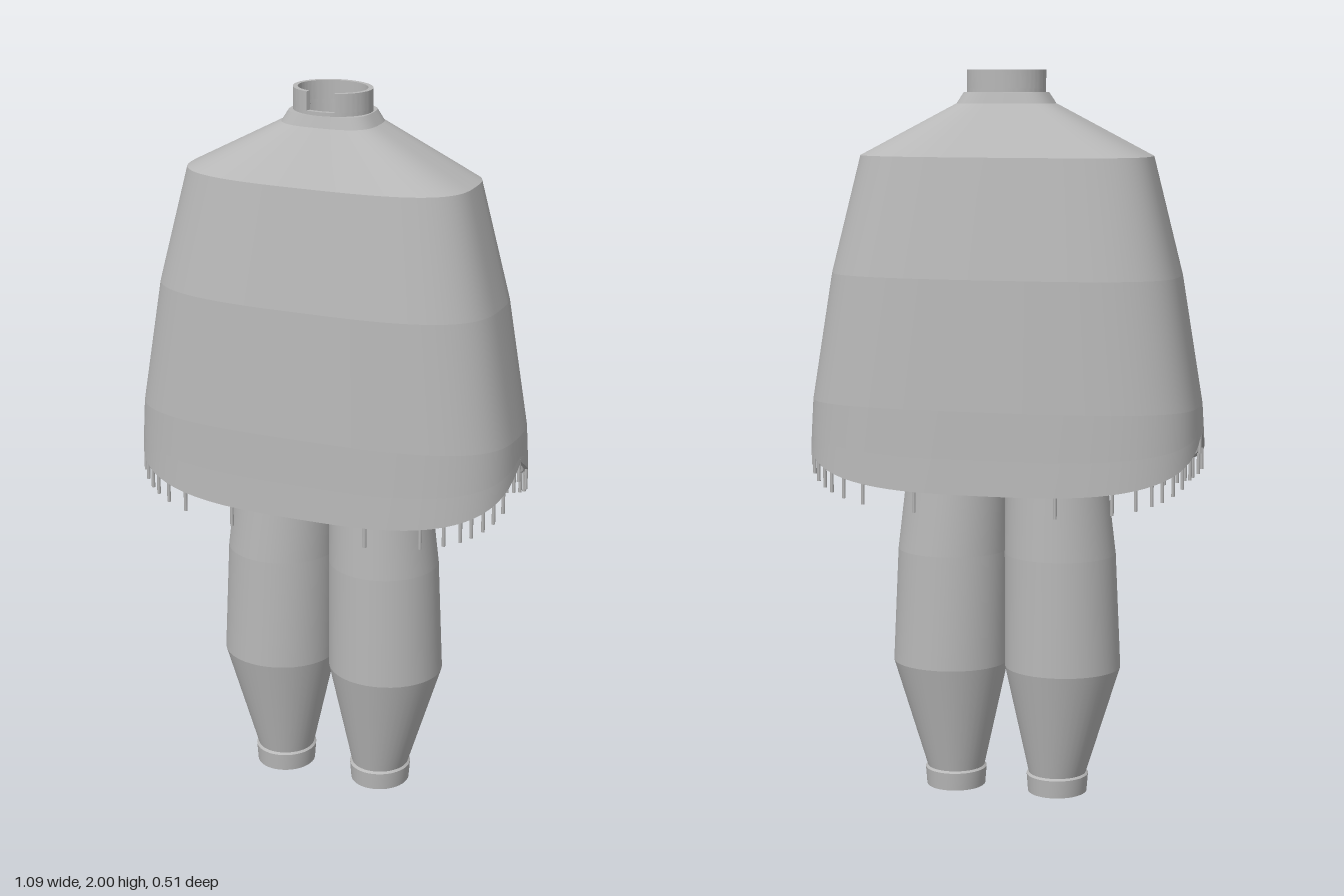
import * as THREE from 'three';
import { toCreasedNormals } from 'three/addons/utils/BufferGeometryUtils.js';

const cloth = new THREE.MeshStandardMaterial({ color: 0xb8b8b8 });
cloth.name = 'grey cloth';

function mesh(name, geometry, parent) {
  const m = new THREE.Mesh(geometry, cloth);
  m.name = name;
  parent.add(m);
  return m;
}

// Rings are [y, rx, rz, centreX]; y may be a function of |z| / rz.
// Each band keeps its own vertices, so it is smooth around and creased at rings.
function loft(rings, power, segments) {
  const pos = [], index = [];
  const addRing = ([y, rx, rz, cx = 0]) => {
    for (let i = 0; i < segments; i++) {
      const t = (i / segments) * Math.PI * 2;
      const curve = (v) => (Math.abs(v) < 1e-9 ? 0 : Math.sign(v) * Math.abs(v) ** (2 / power));
      const c = curve(Math.cos(t)), s = curve(Math.sin(t));
      pos.push(cx + rx * c, typeof y === 'function' ? y(Math.abs(s)) : y, rz * s);
    }
  };
  for (let r = 0; r + 1 < rings.length; r++) {
    const base = pos.length / 3;
    addRing(rings[r]);
    addRing(rings[r + 1]);
    for (let i = 0; i < segments; i++) {
      const a = base + i, b = base + ((i + 1) % segments);
      const c = a + segments, d = b + segments;
      index.push(a, c, b, b, c, d);
    }
  }
  const g = new THREE.BufferGeometry();
  g.setAttribute('position', new THREE.Float32BufferAttribute(pos, 3));
  g.setIndex(index);
  g.computeVertexNormals();
  return g;
}

// Hem rises to a point at each side
const hemY = (f) => 1.03 - 0.155 * f;
const trimY = (f) => 1.045 - 0.075 * f;

function collarPiece(shape, depth, top) {
  const g = new THREE.ExtrudeGeometry(shape, { depth, bevelEnabled: false, curveSegments: 40 });
  g.rotateX(Math.PI / 2);
  g.translate(0, top, 0);
  return toCreasedNormals(g, 0.6);
}

export function createModel() {
  const model = new THREE.Group();
  model.name = 'ponchoOutfit';

  // Poncho: outer wall up to the neck, then the lining back down
  mesh('poncho', loft([
    [hemY, 0.545, 0.257],
    [trimY, 0.543, 0.254],
    [1.1, 0.538, 0.252],
    [1.45, 0.48, 0.238],
    [1.77, 0.4, 0.19],
    [1.91, 0.132, 0.1],
    [1.94, 0.112, 0.092],
    [1.94, 0.085, 0.078],
    [1.9, 0.1, 0.08],
    [1.76, 0.385, 0.177],
    [1.45, 0.467, 0.226],
    [1.1, 0.526, 0.24],
    [hemY, 0.533, 0.245],
    [hemY, 0.545, 0.257],
  ], 3, 72), model);

  // Fringe hanging along the hem, crowded at the corners
  const fringe = new THREE.Group();
  fringe.name = 'fringe';
  model.add(fringe);
  const strand = new THREE.CylinderGeometry(0.005, 0.005, 0.065, 6);
  for (const x of [0.2, 0.35, 0.41, 0.45, 0.475, 0.5, 0.52, 0.535, 0.545]) {
    const f = Math.cbrt(Math.max(0, 1 - (x / 0.545) ** 3));
    for (const sx of [-1, 1]) {
      for (const sz of f > 0 ? [-1, 1] : [1]) {
        mesh('fringeStrand', strand, fringe)
          .position.set(sx * (x - 0.005), hemY(f) - 0.0245, sz * 0.251 * f);
      }
    }
  }

  // Collar: a full lower ring and an upper band open at the front
  const ring = new THREE.Shape().absellipse(0, 0, 0.108, 0.09, 0, Math.PI * 2, false);
  ring.holes.push(new THREE.Path().absellipse(0, 0, 0.095, 0.077, 0, Math.PI * 2, true));
  mesh('collarBase', collarPiece(ring, 0.045, 1.95), model);
  const from = Math.PI * 0.62, to = Math.PI * 2.38;
  const band = new THREE.Shape();
  band.absellipse(0, 0, 0.108, 0.09, from, to, false);
  band.absellipse(0, 0, 0.095, 0.077, to, from, true);
  mesh('collarBand', collarPiece(band, 0.05, 2), model);

  // Trousers: closed hips and two baggy legs with open cuffs
  mesh('hips', loft([
    [0.9, 0, 0],
    [0.9, 0.265, 0.125],
    [1.1, 0.26, 0.125],
    [1.1, 0, 0],
  ], 2.5, 48), model);
  for (const s of [-1, 1]) {
    mesh(s > 0 ? 'leftLeg' : 'rightLeg', loft([
      [0.36, 0, 0, s * 0.16],
      [0.36, 0.145, 0.138, s * 0.16],
      [0.05, 0.062, 0.066, s * 0.147],
      [0, 0.062, 0.066, s * 0.147],
      [0, 0.082, 0.086, s * 0.147],
      [0.05, 0.086, 0.09, s * 0.147],
      [0.055, 0.08, 0.083, s * 0.147],
      [0.36, 0.161, 0.153, s * 0.161],
      [0.68, 0.154, 0.15, s * 0.153],
      [0.87, 0.142, 0.14, s * 0.142],
      [1.02, 0.128, 0.122, s * 0.13],
      [1.02, 0, 0, s * 0.13],
    ], 2, 40), model);
  }
  return model;
}
